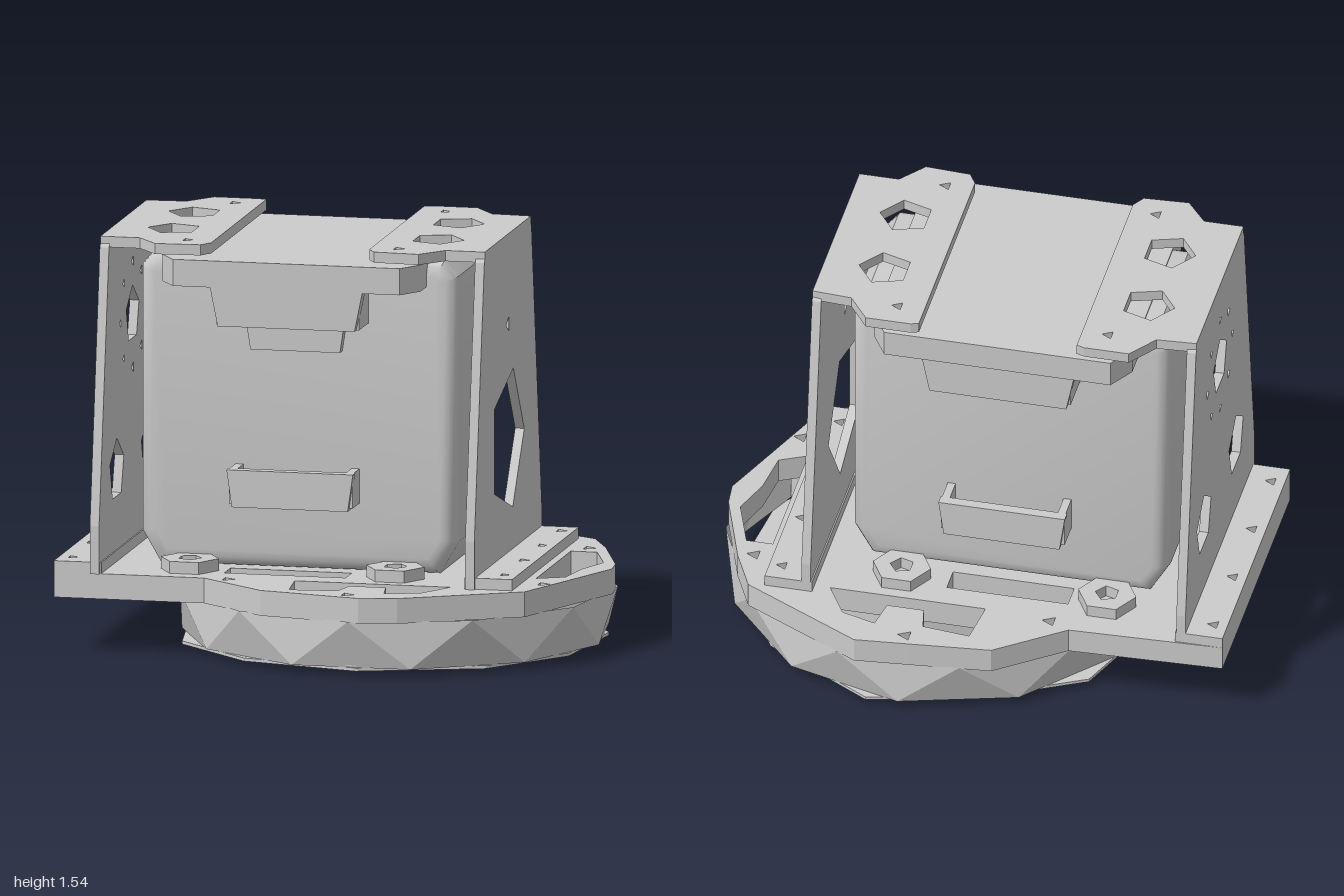
import * as THREE from 'three';
import { toCreasedNormals } from 'three/addons/utils/BufferGeometryUtils.js';

const CX = -0.13; // centre line of the body and its brackets
const RX = 0.18;  // centre of the round base

export function createModel() {
  const model = new THREE.Group();
  const flat = new THREE.MeshStandardMaterial({ color: 0xcccccc, flatShading: true, side: THREE.DoubleSide });
  const smooth = new THREE.MeshStandardMaterial({ color: 0xcccccc, side: THREE.DoubleSide });

  const add = (name, geometry, material = flat) => {
    const mesh = new THREE.Mesh(geometry, material);
    mesh.name = name;
    model.add(mesh);
    return mesh;
  };
  const box = (name, x0, x1, y0, y1, z0, z1) => add(name,
    new THREE.BoxGeometry(x1 - x0, y1 - y0, z1 - z0)
      .translate((x0 + x1) / 2, (y0 + y1) / 2, (z0 + z1) / 2));
  // Regular polygon as a list of corners
  const ngon = (cx, cy, r, n, turn = 0) => Array.from({ length: n }, (_, i) => {
    const a = turn + i / n * Math.PI * 2;
    return [cx + r * Math.cos(a), cy + r * Math.sin(a)];
  });
  const toPoints = (pts) => pts.map(([x, y]) => new THREE.Vector2(x, y));
  const extrude = (pts, holes, depth, options = {}) => {
    const shape = new THREE.Shape(toPoints(pts));
    holes.forEach((h) => shape.holes.push(new THREE.Path(toPoints(h))));
    return new THREE.ExtrudeGeometry(shape, { depth, bevelEnabled: false, ...options });
  };
  // Horizontal plate drawn in (x, z), hanging down from its top
  const slab = (name, pts, holes, top, thickness) => add(name,
    extrude(pts, holes, thickness).rotateX(Math.PI / 2).translate(0, top, 0));
  // Upright plate drawn in (z, y), running from xMax toward -x
  const wall = (name, pts, holes, xMax, thickness) => add(name,
    extrude(pts, holes, thickness).rotateY(-Math.PI / 2).translate(xMax, 0, 0));

  // Base deck: rectangular shelf joined to an irregular round plate
  const deck = [[-1, -0.56], [-0.42, -0.58], [-0.17, -0.77], [0.13, -0.8], [0.34, -0.82], [0.8, -0.57],
    [0.88, -0.4], [0.99, -0.08], [1, 0.02], [0.96, 0.12], [0.79, 0.55], [0.36, 0.79], [0.22, 0.82],
    [-0.17, 0.74], [-0.43, 0.54], [-1, 0.54]];
  const sidePocket = [[0.77, -0.3], [0.87, -0.3], [0.94, -0.1], [0.89, 0.05], [0.87, 0.22], [0.77, 0.27]];
  const deckHoles = [sidePocket];
  for (const s of [1, -1]) {
    const m = (pts) => pts.map(([x, z]) => [x, z * s]);
    deckHoles.push(
      m([[-0.09, 0.52], [0.5, 0.52], [0.42, 0.66], [0.29, 0.7], [0.27, 0.58], [0.13, 0.58], [0.11, 0.68], [-0.07, 0.7]]),
      m([[-0.38, 0.32], [0.08, 0.32], [0.08, 0.42], [-0.38, 0.42]]),
      ngon(0.16, 0.75 * s, 0.03, 3), ngon(-0.34, 0.54 * s, 0.03, 3), ngon(0.82, 0.38 * s, 0.03, 3));
  }
  slab('baseDeck', deck, deckHoles, 0.3, 0.095);

  // Faceted skirt: the lower ring is turned half a step from the upper one
  const sides = 11;
  const skirt = new THREE.CylinderGeometry(0.82, 0.8, 0.18, sides, 1, true);
  const p = skirt.attributes.position;
  for (let i = 0; i < p.count; i++) {
    if (p.getY(i) > 0) continue;
    const v = new THREE.Vector3().fromBufferAttribute(p, i)
      .applyAxisAngle(new THREE.Vector3(0, 1, 0), Math.PI / sides);
    p.setXYZ(i, v.x, v.y, v.z);
  }
  add('baseSkirt', skirt.translate(RX, 0.12, 0));
  const innerWall = new THREE.CylinderGeometry(0.5, 0.5, 0.18, 12, 1, true);
  add('baseInnerWall', innerWall.translate(RX, 0.12, 0));

  // Ribs between the inner wall and the skirt
  for (let i = 0; i < 6; i++) {
    const a = (i + 0.5) / 6 * Math.PI * 2;
    const rib = add('baseRib', new THREE.BoxGeometry(0.28, 0.17, 0.04));
    rib.position.set(RX + 0.63 * Math.cos(a), 0.12, 0.63 * Math.sin(a));
    rib.rotation.y = -a;
  }

  // Underside: thin floor sheet and a drilled turntable disc
  const floorEdge = [[-0.63, -0.1], [-0.48, -0.5], [-0.1, -0.7], [0.3, -0.8], [0.72, -0.55], [0.95, -0.15],
    [0.9, 0.3], [0.66, 0.62], [0.2, 0.78], [-0.25, 0.67], [-0.55, 0.38]];
  const hub = ngon(0.17, 0, 0.08, 6);
  slab('baseFloor', floorEdge, [hub], 0.03, 0.012);
  const drill = [hub];
  for (let i = 0; i < 12; i++) {
    const a = i / 12 * Math.PI * 2;
    const r = i % 2 ? 0.4 : 0.27;
    drill.push(ngon(0.17 + r * Math.cos(a), r * Math.sin(a), 0.025, 3));
  }
  slab('turntableDisc', ngon(0.17, 0, 0.49, 12, Math.PI / 12), drill, 0.018, 0.018);

  // Body: rounded block with chamfered lower corners
  const bodyEdge = [[-0.66, 0.3], [0.4, 0.3], [0.47, 0.42], [0.47, 1.42], [0.42, 1.48], [-0.68, 1.48], [-0.73, 1.42], [-0.73, 0.42]];
  const body = extrude(bodyEdge, [], 0.48,
    { bevelEnabled: true, bevelSize: 0.06, bevelThickness: 0.06, bevelOffset: -0.06, bevelSegments: 4 });
  add('body', toCreasedNormals(body.translate(0, 0, -0.24), 0.6), smooth);

  // Hood over each end: top slab, hanging lip, cheeks and a small tab
  slab('hoodTop', [[-0.62, -0.4], [-0.56, -0.5], [0.3, -0.5], [0.36, -0.4],
    [0.36, 0.4], [0.3, 0.49], [-0.56, 0.49], [-0.62, 0.4]], [], 1.485, 0.1);
  const lipEdge = [[-0.42, 1.39], [0.16, 1.39], [0.13, 1.24], [-0.39, 1.24]];
  const tabEdge = [[-0.32, 1.26], [0.06, 1.26], [0.04, 1.13], [-0.3, 1.13]];
  for (const s of [1, -1]) {
    const z = (a, b) => [Math.min(a * s, b * s), Math.max(a * s, b * s)];
    add('hoodLip', extrude(lipEdge, [], 0.05).translate(0, 0, s > 0 ? 0.44 : -0.49));
    for (const x of [-0.4, 0.1]) box('hoodCheek', x, x + 0.04, 1.24, 1.39, ...z(0.28, 0.46));
    add('hoodTab', extrude(tabEdge, [], 0.05).translate(0, 0, s > 0 ? 0.29 : -0.34));

    // Open cable hook low on the body
    add('hookFront', extrude([[-0.37, 0.69], [0.11, 0.69], [0.09, 0.55], [-0.35, 0.55]], [], 0.04)
      .translate(0, 0, s > 0 ? 0.39 : -0.43));
    box('hookFloor', -0.35, 0.09, 0.55, 0.58, ...z(0.28, 0.41));
    for (const x of [-0.365, 0.075]) box('hookArm', x, x + 0.03, 0.56, 0.69, ...z(0.28, 0.41));

    // Screw bosses at the foot of the body
    for (const x of [-0.52, 0.26]) {
      slab('screwBoss', ngon(x, 0.38 * s, 0.11, 6), [ngon(x, 0.38 * s, 0.045, 5)], 0.345, 0.045);
    }
  }

  // Side brackets: tapered wall, outward foot and inward top flange
  const wallEdge = [[-0.56, 0.3], [0.555, 0.3], [0.555, 0.48], [0.39, 1.5], [0.36, 1.54], [-0.36, 1.54], [-0.39, 1.5], [-0.56, 0.42]];
  const bigWindow = [[0.22, 0.92], [-0.09, 1.02], [-0.27, 0.76], [-0.08, 0.5], [0.22, 0.6]];
  const rightWindows = [ngon(0, 1.18, 0.11, 5, Math.PI / 2),
    ngon(-0.26, 0.64, 0.12, 5, Math.PI / 2), ngon(0.26, 0.64, 0.12, 5, Math.PI / 2)];
  for (let i = 0; i < 8; i++) {
    const a = i / 8 * Math.PI * 2;
    rightWindows.push(ngon(0.2 * Math.cos(a), 1.18 + 0.2 * Math.sin(a), 0.02, 3));
  }
  wall('leftBracketWall', wallEdge, [bigWindow, ngon(0, 1.2, 0.03, 3)], 0.6, 0.035);
  wall('rightBracketWall', wallEdge, rightWindows, -0.825, 0.035);

  const flangeEdge = [[0.3, -0.49], [0.33, -0.5], [0.5, -0.5], [0.58, -0.39], [0.73, -0.38],
    [0.73, 0.38], [0.58, 0.38], [0.5, 0.48], [0.33, 0.47], [0.3, 0.42]];
  for (const s of [1, -1]) {
    const side = s > 0 ? 'left' : 'right';
    const X = (x) => CX + s * x;
    const place = (pts) => pts.map(([x, z]) => [X(x), z]);
    const turn = s > 0 ? 0 : Math.PI;
    slab(side + 'BracketTop', place(flangeEdge), [
      ngon(X(0.5), -0.18, 0.1, 5, turn), ngon(X(0.5), 0.16, 0.1, 5, turn),
      ngon(X(0.4), -0.4, 0.025, 3), ngon(X(0.4), 0.38, 0.025, 3)], 1.54, 0.04);
    slab(side + 'BracketFoot', place([[0.69, -0.56], [0.87, -0.56], [0.87, 0.54], [0.69, 0.54]]),
      [-0.48, -0.17, 0.14, 0.45].map((z) => ngon(X(0.82), z, 0.025, 3)), 0.342, 0.042);
  }
  return model;
}
